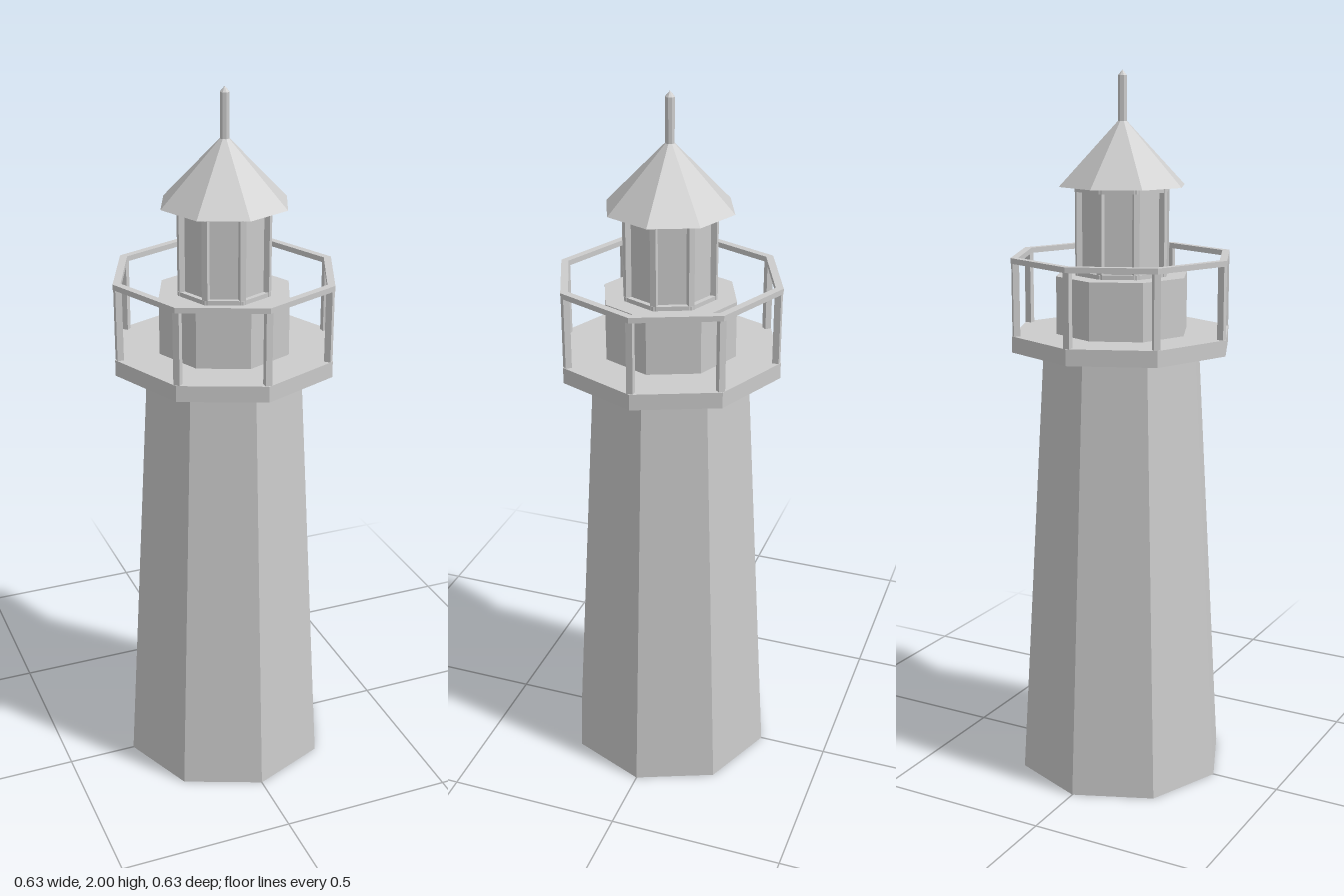
import * as THREE from 'three';

const SIDES = 8;

export function createModel() {
  const model = new THREE.Group();
  model.name = 'lighthouse';
  const material = new THREE.MeshStandardMaterial({ color: 0xcccccc, flatShading: true });

  const add = (name, geometry, parent = model) => {
    const mesh = new THREE.Mesh(geometry, material);
    mesh.name = name;
    parent.add(mesh);
    return mesh;
  };

  // Octagonal drum between two heights, corners on the axes
  const drum = (name, rBottom, rTop, y0, y1, parent) => {
    const mesh = add(name, new THREE.CylinderGeometry(rTop, rBottom, y1 - y0, SIDES), parent);
    mesh.position.y = (y0 + y1) / 2;
    return mesh;
  };

  // Octagonal flat ring with a hole
  const ring = (name, rOuter, rInner, y0, y1, parent) => {
    const corners = (r) => Array.from({ length: SIDES }, (_, i) => {
      const a = (i / SIDES) * Math.PI * 2;
      return new THREE.Vector2(r * Math.cos(a), r * Math.sin(a));
    });
    const shape = new THREE.Shape(corners(rOuter));
    shape.holes.push(new THREE.Path(corners(rInner)));
    const geometry = new THREE.ExtrudeGeometry(shape, { depth: y1 - y0, bevelEnabled: false });
    geometry.rotateX(-Math.PI / 2);
    add(name, geometry, parent).position.y = y0;
  };

  // Square posts standing on the octagon's corners
  const posts = (name, radius, size, y0, y1, parent) => {
    for (let i = 0; i < SIDES; i++) {
      const a = (i / SIDES) * Math.PI * 2;
      const post = add(name, new THREE.BoxGeometry(size, y1 - y0, size), parent);
      post.position.set(radius * Math.sin(a), (y0 + y1) / 2, radius * Math.cos(a));
      post.rotation.y = a;
    }
  };

  // Tapered tower and watch room
  drum('tower', 0.302, 0.228, 0, 1.245);
  drum('watchRoom', 0.19, 0.19, 1.29, 1.45);

  // Gallery: deck, posts and handrail
  const gallery = new THREE.Group();
  gallery.name = 'gallery';
  model.add(gallery);
  drum('galleryDeck', 0.317, 0.317, 1.245, 1.29, gallery);
  posts('railingPost', 0.304, 0.018, 1.29, 1.49, gallery);
  ring('handrail', 0.317, 0.295, 1.49, 1.505, gallery);

  // Lantern room: glazing, mullions and frames
  const lantern = new THREE.Group();
  lantern.name = 'lantern';
  model.add(lantern);
  drum('lanternGlass', 0.12, 0.12, 1.45, 1.69, lantern);
  posts('mullion', 0.125, 0.016, 1.45, 1.69, lantern);
  ring('lowerFrame', 0.135, 0.115, 1.45, 1.462, lantern);
  ring('upperFrame', 0.135, 0.115, 1.678, 1.69, lantern);

  // Roof and finial
  drum('roof', 0.18, 0.008, 1.692, 1.87);
  drum('finial', 0.013, 0.013, 1.855, 1.985);
  drum('finialTip', 0.013, 0, 1.985, 2);

  return model;
}
